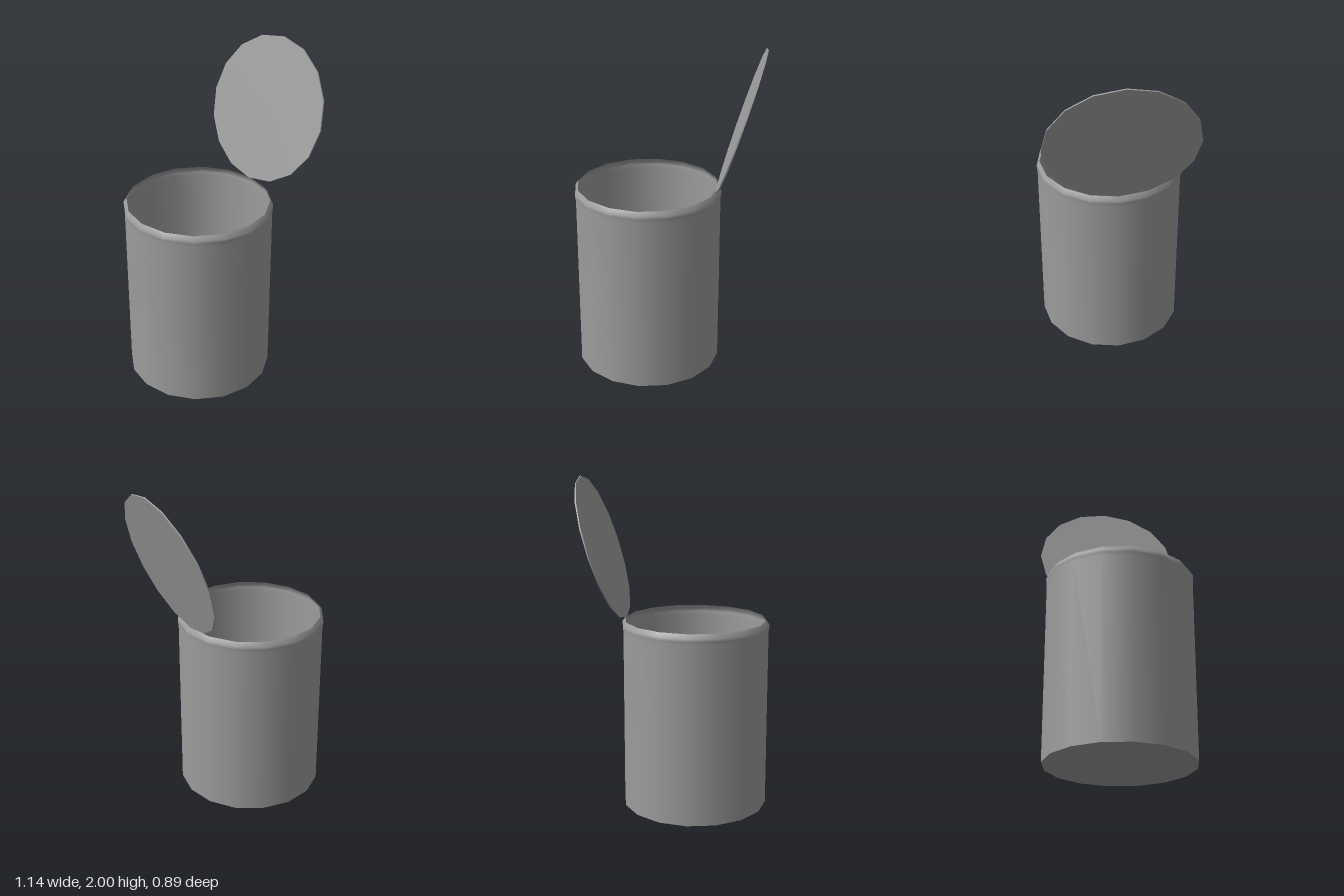
import * as THREE from 'three';

const SIDES = 16;
const RADIUS = 0.442;
const HEIGHT = 1.155;
const CENTRE_X = -0.124;

export function createModel() {
  const model = new THREE.Group();
  model.name = 'openCan';
  const material = new THREE.MeshStandardMaterial({ color: 0x9c9c9c, side: THREE.DoubleSide });

  function add(name, geometry, parent) {
    const mesh = new THREE.Mesh(geometry, material);
    mesh.name = name;
    parent.add(mesh);
    return mesh;
  }

  // Open, thin-walled body with a slightly bulging lip that turns inwards
  const body = new THREE.Group();
  body.name = 'body';
  body.position.x = CENTRE_X;
  model.add(body);

  const profile = [
    [RADIUS, 0],
    [RADIUS, 1.09],
    [0.446, 1.112],
    [0.446, 1.13],
    [0.428, HEIGHT],
  ].map(([r, y]) => new THREE.Vector2(r, y));
  add('wall', new THREE.LatheGeometry(profile, SIDES), body);

  // Flat bottom, facing down
  add('bottom', new THREE.CircleGeometry(RADIUS, SIDES).rotateX(Math.PI / 2), body);

  // Thin lid standing open, touching the rim at its lowest corner
  const lidRadius = 0.444;
  const lid = add('lid', new THREE.CylinderGeometry(lidRadius, lidRadius, 0.008, SIDES), model);
  const tilt = Math.atan2(0.845, 0.27);
  lid.rotation.z = tilt;
  lid.position.set(0.297 + lidRadius * Math.cos(tilt), HEIGHT + lidRadius * Math.sin(tilt), 0);

  return model;
}
